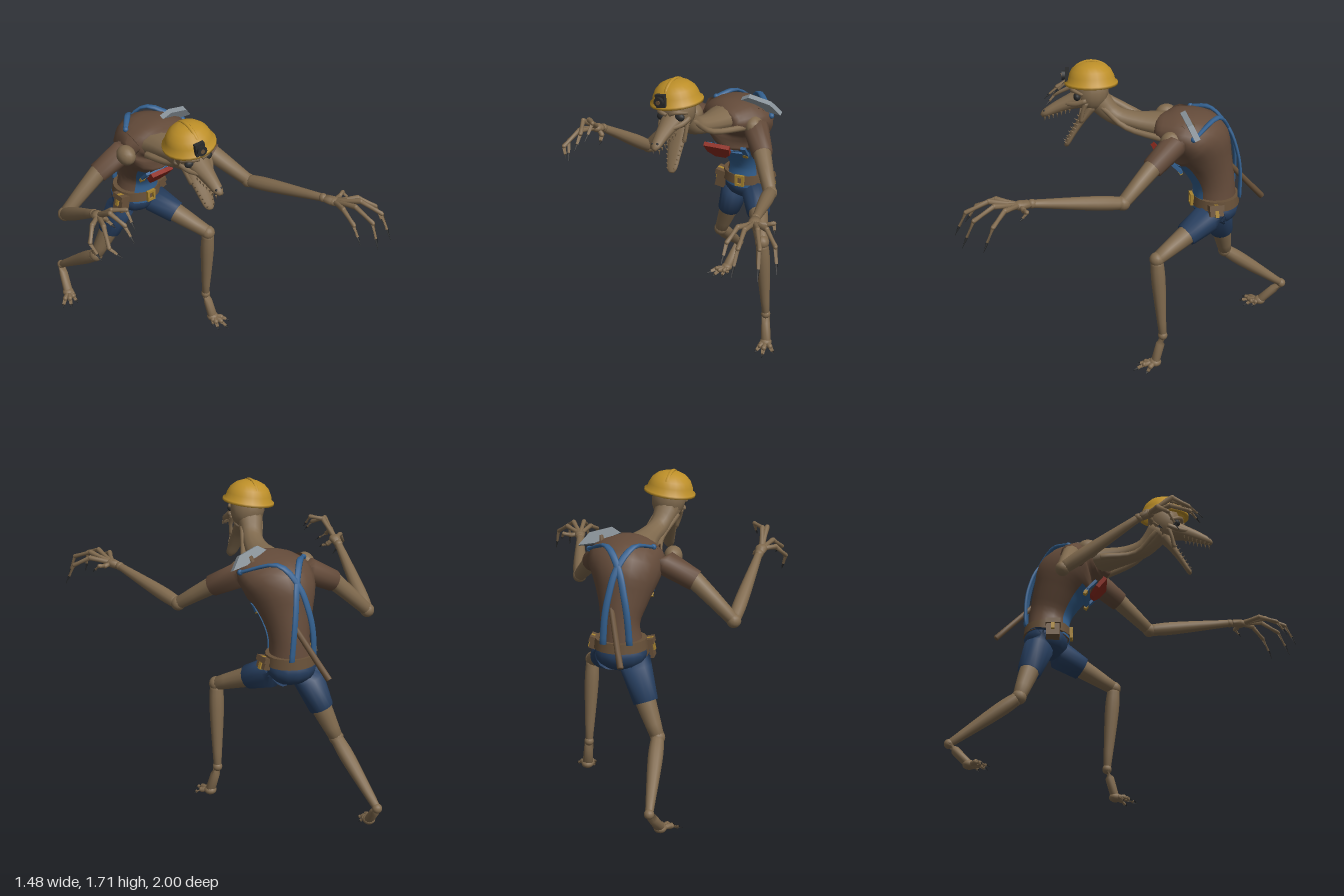
import * as THREE from 'three';

const mat = (name, color, side = THREE.FrontSide) => {
  const m = new THREE.MeshStandardMaterial({ color, side });
  m.name = name;
  return m;
};
const M = {
  skin: mat('skin', 0x806a4e), shirt: mat('shirt', 0x644b3a), denim: mat('denim', 0x273f60),
  strap: mat('strap blue', 0x33608f, THREE.DoubleSide), helmet: mat('helmet yellow', 0xbd8f28, THREE.DoubleSide),
  red: mat('red cloth', 0x8c2a1e), steel: mat('steel', 0x858f96), dark: mat('dark', 0x2a2b2c),
  gold: mat('brass', 0xa88430), leather: mat('leather', 0x675038),
};

// Smooth skin through elliptical sections [x, y, z, sideRadius, otherRadius]
function loftGeometry(sections, { sides = 12, per = 4, t1 = 1, grow = 0, arc = null } = {}) {
  const centres = new THREE.CatmullRomCurve3(sections.map(p => new THREE.Vector3(p[0], p[1], p[2])), false, 'catmullrom', 0.5);
  const radii = new THREE.CatmullRomCurve3(sections.map(p => new THREE.Vector3(p[3], p[4] ?? p[3], 0)), false, 'catmullrom', 0.5);
  const span = centres.points.at(-1).clone().sub(centres.points[0]).normalize();
  const ref = Math.abs(span.x) > 0.8 ? new THREE.Vector3(0, 0, 1) : new THREE.Vector3(1, 0, 0);
  const rows = (sections.length - 1) * per, cols = arc ? sides + 1 : sides;
  const [a0, a1] = arc ?? [0, Math.PI * 2];
  const pos = [], idx = [];
  for (let i = 0; i <= rows; i++) {
    const t = i / rows * t1, c = centres.getPoint(t), r = radii.getPoint(t), d = centres.getTangent(t);
    const s = ref.clone().addScaledVector(d, -ref.dot(d)).normalize();
    const u = new THREE.Vector3().crossVectors(d, s);
    for (let j = 0; j < cols; j++) {
      const a = a0 + (a1 - a0) * j / sides;
      const p = c.clone().addScaledVector(s, Math.cos(a) * (r.x + grow)).addScaledVector(u, Math.sin(a) * (r.y + grow));
      pos.push(p.x, p.y, p.z);
    }
  }
  for (let i = 0; i < rows; i++) for (let j = 0; j < sides; j++) {
    const k = (j + 1) % cols, a = i * cols + j, b = i * cols + k;
    idx.push(a, b, a + cols, b, b + cols, a + cols);
  }
  if (!arc) {
    const n = pos.length / 3, e = centres.getPoint(t1), c0 = centres.points[0];
    pos.push(c0.x, c0.y, c0.z, e.x, e.y, e.z);
    for (let j = 0; j < sides; j++) {
      const k = (j + 1) % sides;
      idx.push(n, k, j, n + 1, rows * cols + j, rows * cols + k);
    }
  }
  const g = new THREE.BufferGeometry();
  g.setAttribute('position', new THREE.Float32BufferAttribute(pos, 3));
  g.setIndex(idx);
  g.computeVertexNormals();
  return g;
}

function add(parent, name, geometry, material, p = [0, 0, 0], r = [0, 0, 0]) {
  const m = new THREE.Mesh(geometry, material);
  m.name = name;
  m.position.set(...p);
  m.rotation.set(...r);
  parent.add(m);
  return m;
}
const loft = (parent, name, material, sections, opts) => add(parent, name, loftGeometry(sections, opts), material);
const ball = (parent, name, material, p, r, scale = [1, 1, 1]) => {
  const m = add(parent, name, new THREE.SphereGeometry(r, 14, 10), material, p);
  m.scale.set(...scale);
  return m;
};
const box = (parent, name, material, size, p, r) => add(parent, name, new THREE.BoxGeometry(...size), material, p, r);
const mix = (a, b, t) => a.map((v, k) => v + (b[k] - v) * t);
const outline = points => points.map(p => new THREE.Vector2(...p));
const plate = (shape, depth) => new THREE.ExtrudeGeometry(shape, { depth, bevelEnabled: false });

// Bony digit through points, ending in a dark claw
function digit(parent, name, points, r) {
  const last = points.length - 1, o = { sides: 7, per: 1 };
  for (let i = 0; i < last; i++) {
    const a = points[i], b = points[i + 1], ra = r * (1 - 0.17 * i);
    const mid = mix(a, b, 0.6);
    if (i === last - 1) {
      loft(parent, name, M.skin, [[...a, ra], [...mid, ra * 0.7]], o);
      loft(parent, name + 'Claw', M.dark, [[...mid, ra * 0.7], [...b, 0.002]], o);
    } else loft(parent, name, M.skin, [[...a, ra], [...mid, ra * 0.8], [...b, ra * 0.95]], o);
    if (i > 0) ball(parent, name + 'Knuckle', M.skin, a, ra * 1.05);
  }
}

function buildHead(root) {
  const head = new THREE.Group();
  head.name = 'head';
  head.position.set(-0.08, 1.592, 0.185);
  head.rotation.set(0, -0.15, 0.14);
  root.add(head);
  ball(head, 'skull', M.skin, [0, -0.045, 0], 0.1, [0.96, 1.15, 0.95]);
  loft(head, 'snout', M.skin, [[0, -0.08, 0.03, 0.078, 0.062], [0, -0.105, 0.11, 0.055, 0.044],
    [0, -0.137, 0.19, 0.038, 0.032], [0, -0.167, 0.25, 0.028, 0.022], [0, -0.184, 0.272, 0.01, 0.01]]);
  loft(head, 'lowerJaw', M.skin, [[0, -0.12, 0.0, 0.066, 0.04], [0, -0.2, 0.05, 0.054, 0.022],
    [0, -0.28, 0.1, 0.042, 0.016], [0, -0.335, 0.132, 0.032, 0.014], [0, -0.357, 0.145, 0.014, 0.01]]);
  for (const s of [-1, 1]) {
    ball(head, 'eye', M.dark, [s * 0.054, -0.066, 0.078], 0.027, [1.1, 0.85, 0.75]);
    loft(head, 'brow', M.skin, [[s * 0.01, -0.046, 0.105, 0.01], [s * 0.05, -0.033, 0.1, 0.012], [s * 0.09, -0.05, 0.05, 0.008]], { sides: 7 });
    loft(head, 'cheekBone', M.skin, [[s * 0.085, -0.085, 0.03, 0.014], [s * 0.064, -0.104, 0.085, 0.015], [s * 0.036, -0.11, 0.14, 0.01]], { sides: 7 });
    loft(head, 'jawTendon', M.skin, [[s * 0.072, -0.095, 0.03, 0.016], [s * 0.066, -0.15, 0.05, 0.011], [s * 0.05, -0.21, 0.06, 0.013]], { sides: 7 });
    ball(head, 'nostril', M.dark, [s * 0.014, -0.154, 0.256], 0.007);
    // Teeth along both jaws
    for (let i = 0; i < 7; i++) {
      const t = i / 6, tooth = new THREE.ConeGeometry(0.006, 0.024, 5);
      add(head, 'upperTooth', tooth, M.skin, [s * (0.044 - 0.024 * t), -0.15 - 0.048 * t, 0.12 + 0.135 * t], [Math.PI, 0, 0]);
      add(head, 'lowerTooth', tooth, M.skin, [s * (0.05 - 0.03 * t), -0.2 - 0.13 * t, 0.075 + 0.072 * t], [0.9, 0, 0]);
    }
  }
  // Hard hat with brim, crown ridge and lamp
  const profile = outline([[0.122, -0.01], [0.144, -0.01], [0.144, 0.004], [0.13, 0.01], [0.124, 0.038],
    [0.108, 0.07], [0.08, 0.096], [0.045, 0.111], [0, 0.116]]);
  add(head, 'helmet', new THREE.LatheGeometry(profile, 24), M.helmet);
  const ridge = [];
  for (let i = 0; i <= 6; i++) {
    const a = 0.6 + i / 6 * 1.94;
    ridge.push([0, 0.115 * Math.sin(a) + 0.003, 0.122 * Math.cos(a), 0.011, 0.007]);
  }
  loft(head, 'helmetRidge', M.helmet, ridge, { sides: 8, per: 2 });
  box(head, 'lampMount', M.dark, [0.056, 0.072, 0.022], [-0.012, 0.038, 0.13]);
  add(head, 'lamp', new THREE.CylinderGeometry(0.028, 0.025, 0.024, 14), M.dark, [-0.012, 0.038, 0.148], [Math.PI / 2, 0, 0]);
  add(head, 'lampLens', new THREE.CylinderGeometry(0.012, 0.012, 0.005, 12), M.leather, [-0.012, 0.038, 0.161], [Math.PI / 2, 0, 0]);
}

function buildTorso(root) {
  const torso = [[0.083, 0.88, -0.48, 0.125, 0.12], [0.09, 1.02, -0.472, 0.105, 0.114], [0.08, 1.15, -0.432, 0.14, 0.14],
    [0.075, 1.27, -0.372, 0.188, 0.178], [0.082, 1.34, -0.285, 0.205, 0.122], [0.07, 1.36, -0.2, 0.145, 0.085], [0.05, 1.365, -0.15, 0.085, 0.055]];
  loft(root, 'torso', M.shirt, torso, { sides: 20 });
  const mid = Math.PI * 1.5;
  loft(root, 'bib', M.strap, torso, { sides: 10, t1: 0.45, grow: 0.01, arc: [mid - 0.78, mid + 0.78] });
  loft(root, 'neck', M.skin, [[0.06, 1.35, -0.27, 0.14, 0.077], [0.035, 1.368, -0.16, 0.098, 0.064], [0.005, 1.386, -0.03, 0.067, 0.05],
    [-0.035, 1.417, 0.078, 0.058, 0.053], [-0.075, 1.508, 0.164, 0.074, 0.072]]);
  for (const s of [-1, 1]) loft(root, 'neckTendon', M.skin, [[-0.07 + s * 0.06, 1.47, 0.14, 0.016],
    [0.0 + s * 0.06, 1.368, 0.02, 0.016], [0.06 + s * 0.13, 1.335, -0.18, 0.02]], { sides: 8 });

  // Braces crossing over the back, with buttons where they end at the shoulders
  for (const [s, tip] of [[1, [0.285, 1.37, -0.3]], [-1, [-0.07, 1.41, -0.365]]]) {
    loft(root, 'brace', M.strap, [[0.09 - s * 0.07, 0.94, -0.6, 0.018, 0.01], [0.09 - s * 0.06, 1.08, -0.603, 0.018, 0.01],
      [0.09 - s * 0.04, 1.2, -0.588, 0.018, 0.01], [0.09 - s * 0.005, 1.33, -0.545, 0.018, 0.01],
      [0.09 + s * 0.07, 1.43, -0.46, 0.018, 0.01], [...tip, 0.015, 0.01]], { sides: 8 });
    ball(root, 'braceButton', M.strap, tip, 0.016);
    box(root, 'bibCorner', M.strap, [0.03, 0.07, 0.016], [0.055 + s * 0.1, 1.165, -0.225], [0.75, 0, 0]);
    box(root, 'braceClip', M.gold, [0.03, 0.025, 0.018], [0.055 + s * 0.095, 1.12, -0.262], [0.6, 0, 0]);
  }
  box(root, 'bibHem', M.strap, [0.22, 0.03, 0.018], [0.06, 1.13, -0.258], [0.7, 0, 0]);
  const cloth = new THREE.Shape(outline([[-0.075, 0.06], [-0.068, -0.01], [-0.03, -0.06], [0.03, -0.06], [0.065, -0.02], [0.075, 0.05], [0.02, 0.055]]));
  add(root, 'redCloth', plate(cloth, 0.025), M.red, [0.015, 1.17, -0.198], [0.7, 0, 0]);

  // Belt, buckle and pouches
  const belt = add(root, 'belt', new THREE.CylinderGeometry(0.132, 0.138, 0.055, 20), M.leather, [0.085, 0.918, -0.48]);
  belt.scale.set(1.05, 1, 0.98);
  const frame = new THREE.Shape(outline([[-0.027, -0.033], [0.027, -0.033], [0.027, 0.033], [-0.027, 0.033]]));
  frame.holes.push(new THREE.Path(outline([[-0.014, -0.019], [-0.014, 0.019], [0.014, 0.019], [0.014, -0.019]])));
  add(root, 'buckle', plate(frame, 0.018), M.gold, [0.085, 0.918, -0.352]);
  for (const [x, z, h, tilt] of [[-0.055, -0.44, 0.1, -0.2], [0.225, -0.45, 0.06, 0.3]]) {
    box(root, 'pouch', M.leather, [0.055, h, 0.075], [x, 0.93 - h / 2, z], [0, 0, tilt]);
    box(root, 'pouchFlap', M.leather, [0.063, 0.03, 0.083], [x, 0.92, z], [0, 0, tilt]);
    box(root, 'pouchStrap', M.gold, [0.07, 0.07, 0.02], [x, 0.9, z], [0, 0, tilt]);
  }

  // Pick slung across the back
  loft(root, 'pickHandle', M.leather, [[0.22, 1.44, -0.29, 0.015], [0.13, 1.15, -0.53, 0.015], [0.04, 0.87, -0.765, 0.017]], { sides: 8 });
  const pick = new THREE.Shape(outline([[-0.115, 0.025], [0.02, -0.035], [0.11, -0.05], [0.055, 0.02], [-0.065, 0.055]]));
  add(root, 'pickHead', plate(pick, 0.03), M.steel, [0.23, 1.44, -0.302], [0.42, 0, 0]);
}

function buildArm(root, side, a) {
  const arm = new THREE.Group();
  arm.name = side + 'Arm';
  root.add(arm);
  loft(arm, 'sleeve', M.shirt, [[...a.root, 0.075], [...a.cuff, 0.059]], { sides: 12, per: 2 });
  ball(arm, 'shoulder', M.skin, a.shoulder, 0.05, [1, 1.12, 1.25]);
  loft(arm, 'upperArm', M.skin, [[...mix(a.cuff, a.root, 0.3), 0.05], [...a.cuff, 0.05], [...a.elbow, 0.035]], { per: 2 });
  ball(arm, 'elbow', M.skin, a.elbow, 0.04);
  loft(arm, 'forearm', M.skin, [[...a.elbow, 0.034], [...mix(a.elbow, a.wrist, 0.3), 0.038], [...a.wrist, 0.021]]);
  ball(arm, 'wrist', M.skin, a.wrist, 0.025);
  loft(arm, 'hand', M.skin, [[...a.wrist, 0.022], [...a.palm, 0.034, 0.024]], { per: 2 });
  ball(arm, 'palm', M.skin, a.palm, 0.032, [1, 0.75, 1.1]);
  a.fingers.forEach(f => digit(arm, 'finger', [a.palm, ...f], 0.016));
}

function buildLeg(root, side, l) {
  const leg = new THREE.Group();
  leg.name = side + 'Leg';
  root.add(leg);
  loft(leg, 'shortsLeg', M.denim, [[...l.hip, 0.092], [...l.hem, 0.067]], { sides: 14, per: 2 });
  loft(leg, 'thigh', M.skin, [[...mix(l.hem, l.hip, 0.3), 0.056], [...l.hem, 0.056], [...l.knee, 0.037]], { per: 3 });
  ball(leg, 'knee', M.skin, l.knee, 0.041);
  loft(leg, 'calf', M.skin, [[...l.knee, 0.035], [...mix(l.knee, l.ankle, 0.3), 0.04], [...l.ankle, 0.021]]);
  ball(leg, 'ankle', M.skin, l.ankle, 0.027);
  loft(leg, 'foot', M.skin, [[...l.ankle, 0.025], [...l.sole, 0.03, 0.024]], { per: 2 });
  ball(leg, 'ballOfFoot', M.skin, l.sole, 0.032, [1.1, 0.8, 1.1]);
  l.toes.forEach(t => {
    const m = mix(l.sole, t, 0.5);
    m[1] = 0.032;
    digit(leg, 'toe', [l.sole, m, t], 0.017);
  });
}

export function createModel() {
  const root = new THREE.Group();
  root.name = 'miner';
  buildHead(root);
  buildTorso(root);
  ball(root, 'shortsSeat', M.denim, [0.085, 0.865, -0.485], 0.13, [1.08, 0.75, 0.97]);
  buildArm(root, 'right', {
    root: [-0.06, 1.35, -0.31], cuff: [-0.29, 1.23, -0.34], shoulder: [-0.16, 1.335, -0.25],
    elbow: [-0.5, 1.03, -0.375], wrist: [-0.595, 1.29, 0.03], palm: [-0.605, 1.31, 0.08],
    fingers: [[[-0.6, 1.4, 0.19], [-0.55, 1.41, 0.25], [-0.56, 1.33, 0.33]], [[-0.625, 1.4, 0.21], [-0.6, 1.36, 0.3], [-0.6, 1.29, 0.375]],
      [[-0.66, 1.33, 0.2], [-0.705, 1.27, 0.3], [-0.665, 1.22, 0.355]], [[-0.68, 1.31, 0.13], [-0.735, 1.25, 0.18], [-0.71, 1.155, 0.24]],
      [[-0.57, 1.28, 0.1], [-0.555, 1.25, 0.16]]],
  });
  buildArm(root, 'left', {
    root: [0.19, 1.36, -0.27], cuff: [0.315, 1.24, -0.07], shoulder: [0.22, 1.34, -0.195],
    elbow: [0.425, 1.105, 0.11], wrist: [0.52, 1.2, 0.6], palm: [0.535, 1.205, 0.665],
    fingers: [[[0.49, 1.23, 0.78], [0.47, 1.19, 0.88], [0.465, 1.1, 0.94]], [[0.54, 1.245, 0.82], [0.55, 1.2, 0.94], [0.54, 1.07, 1]],
      [[0.6, 1.245, 0.8], [0.65, 1.2, 0.91], [0.665, 1.06, 0.975]], [[0.63, 1.23, 0.75], [0.7, 1.18, 0.82], [0.73, 1.06, 0.875]],
      [[0.59, 1.2, 0.65], [0.63, 1.21, 0.64], [0.65, 1.17, 0.68]]],
  });
  buildLeg(root, 'right', {
    hip: [0.02, 0.86, -0.5], hem: [-0.06, 0.62, -0.565], knee: [-0.13, 0.44, -0.61], ankle: [-0.14, 0.165, -0.972], sole: [-0.18, 0.035, -0.855],
    toes: [[-0.285, 0.006, -0.775], [-0.24, 0.006, -0.74], [-0.18, 0.006, -0.755], [-0.155, 0.006, -0.8]],
  });
  buildLeg(root, 'left', {
    hip: [0.14, 0.85, -0.47], hem: [0.225, 0.765, -0.285], knee: [0.315, 0.68, -0.1], ankle: [0.335, 0.195, -0.135], sole: [0.355, 0.035, -0.088],
    toes: [[0.43, 0.006, -0.02], [0.375, 0.006, 0.04], [0.32, 0.006, 0.01], [0.315, 0.006, -0.04]],
  });
  return root;
}
